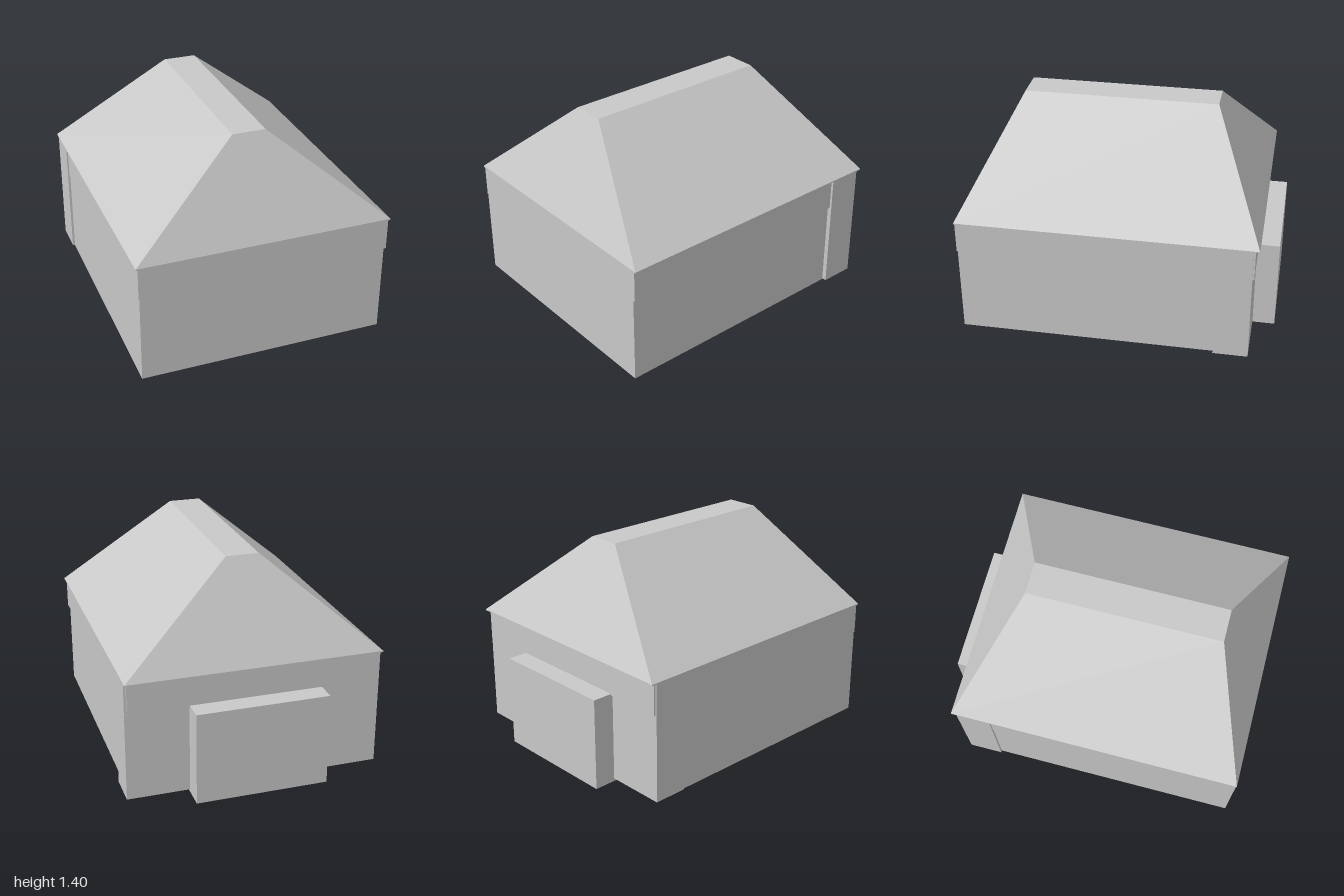
import * as THREE from 'three';

// Closed solid from stacked rectangles [y, x0, x1, z0, z1], listed bottom to top
function stackedRects(rings) {
  const pos = [];
  const corners = rings.map(([y, x0, x1, z0, z1]) => [[x0, y, z1], [x1, y, z1], [x1, y, z0], [x0, y, z0]]);
  const quad = (a, b, c, d) => pos.push(...a, ...b, ...c, ...a, ...c, ...d);
  for (let r = 0; r + 1 < corners.length; r++) {
    const lo = corners[r], hi = corners[r + 1];
    for (let i = 0; i < 4; i++) {
      const j = (i + 1) % 4;
      quad(lo[i], lo[j], hi[j], hi[i]);
    }
  }
  const [a, b, c, d] = corners[0];
  quad(d, c, b, a);
  quad(...corners[corners.length - 1]);
  const geo = new THREE.BufferGeometry();
  geo.setAttribute('position', new THREE.Float32BufferAttribute(pos, 3));
  geo.computeVertexNormals();
  return geo;
}

export function createModel() {
  const model = new THREE.Group();
  model.name = 'house';
  const grey = new THREE.MeshStandardMaterial({ color: 0xc8c8c8, flatShading: true });
  grey.name = 'plain grey';

  const add = (name, geometry) => {
    const mesh = new THREE.Mesh(geometry, grey);
    mesh.name = name;
    model.add(mesh);
  };
  // Box given by its limits on each axis
  const block = (name, x0, x1, y0, y1, z0, z1) => {
    const geo = new THREE.BoxGeometry(x1 - x0, y1 - y0, z1 - z0);
    geo.translate((x0 + x1) / 2, (y0 + y1) / 2, (z0 + z1) / 2);
    add(name, geo);
  };

  // Main walls, and the slightly wider section at the back
  block('mainWalls', -0.805, 0.79, 0.012, 0.795, -0.84, 0.997);
  block('rearWalls', -0.82, 0.82, 0.018, 0.795, -0.857, -0.635);

  // Shallow band under the eaves
  block('eavesBand', -0.81, 0.805, 0.59, 0.795, -0.868, 0.998);

  // Low extension against the back wall
  block('rearExtension', -0.43, 0.42, 0, 0.6, -1, -0.785);

  // Hipped roof with a thin eave lip and a flat ridge
  add('roof', stackedRects([
    [0.792, -0.822, 0.82, -0.893, 1],
    [0.8, -0.822, 0.82, -0.893, 1],
    [1.4, -0.117, 0.095, -0.55, 0.7],
  ]));

  return model;
}
